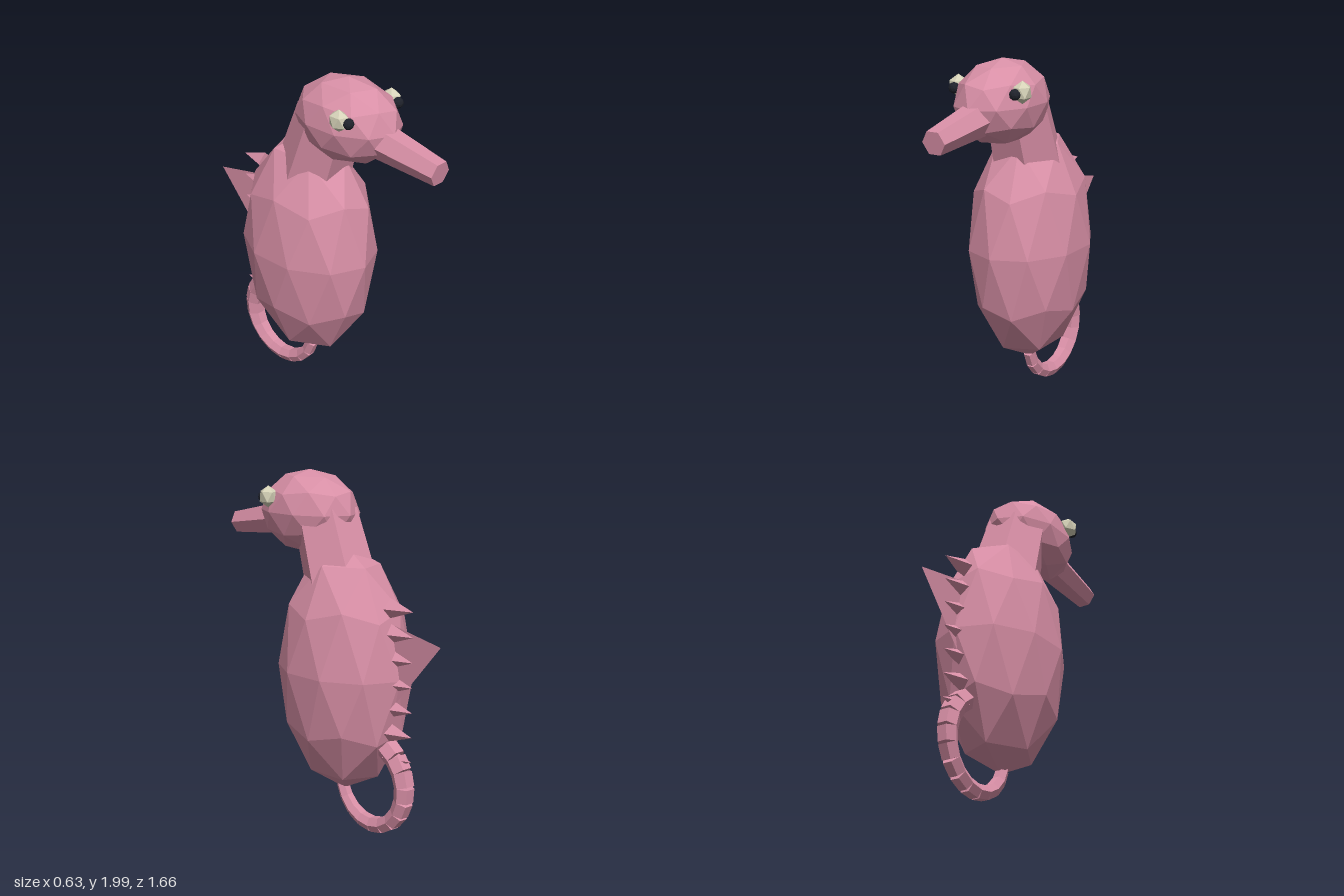
import * as THREE from 'three';

const flat = (name, color) => {
  const m = new THREE.MeshStandardMaterial({ color, flatShading: true });
  m.name = name;
  return m;
};

// Faceted ball with a vertex at each pole, stretched to radii r and centred at c
function icoBall(name, mat, r, c, detail) {
  const pts = [0, -1, 0];
  for (const [h, start] of [[-1, 180], [1, 0]]) {
    for (let k = 0; k < 5; k++) {
      const a = THREE.MathUtils.degToRad(start + 72 * k);
      pts.push(0.8944 * Math.cos(a), 0.4472 * h, 0.8944 * Math.sin(a));
    }
  }
  pts.push(0, 1, 0);
  const faces = [];
  const lower = (k) => 1 + (k % 5);
  const upper = (k) => 6 + (k % 5);
  for (let k = 0; k < 5; k++) {
    faces.push(0, lower(k), lower(k + 1), 11, upper(k + 1), upper(k));
    // lower vertex k sits between upper vertices k + 2 and k + 3
    faces.push(lower(k), upper(k + 2), upper(k + 3));
    faces.push(lower(k), upper(k + 3), lower(k + 1));
  }
  const geo = new THREE.PolyhedronGeometry(pts, faces, 1, detail);
  geo.scale(...r);
  const mesh = new THREE.Mesh(geo, mat);
  mesh.name = name;
  mesh.position.set(...c);
  return mesh;
}

// Six-sided tapered tube between two points [y, z] on the centre plane
function hexTube(name, mat, from, to, rFrom, rTo) {
  const a = new THREE.Vector3(0, ...from);
  const b = new THREE.Vector3(0, ...to);
  const dir = b.clone().sub(a);
  const geo = new THREE.CylinderGeometry(rTo, rFrom, dir.length(), 6, 1, false, Math.PI / 6);
  const mesh = new THREE.Mesh(geo, mat);
  mesh.name = name;
  mesh.position.copy(a).add(b).multiplyScalar(0.5);
  mesh.rotation.x = Math.atan2(dir.z, dir.y);
  return mesh;
}

export function createModel() {
  const group = new THREE.Group();
  group.name = 'seahorse';
  const pink = flat('skin pink', 0xd88fa6);
  const finPink = flat('fin pink', 0xd88fa6);
  finPink.side = THREE.DoubleSide;
  const cream = flat('eye cream', 0xd6d2b8);
  const black = flat('pupil black', 0x1f222b);

  // Body, neck, head and snout
  group.add(icoBall('body', pink, [0.33, 0.7, 0.43], [0, 0.905, -0.1], 1));
  group.add(hexTube('neck', pink, [1.3, -0.095], [1.75, 0.06], 0.215, 0.187));
  group.add(icoBall('head', pink, [0.23, 0.235, 0.33], [0, 1.765, 0.19], 1));
  group.add(hexTube('snout', pink, [1.74, 0.2], [1.65, 0.822], 0.116, 0.07));

  // Eyes and pupils
  for (const s of [1, -1]) {
    const side = s > 0 ? 'left' : 'right';
    group.add(icoBall(side + 'Eye', cream, [0.05, 0.062, 0.062], [s * 0.203, 1.85, 0.312], 0));
    group.add(icoBall(side + 'Pupil', black, [0.031, 0.031, 0.031], [s * 0.192, 1.845, 0.368], 1));
  }

  // Row of spines down the back
  const spineGeo = new THREE.ConeGeometry(0.055, 0.17, 4);
  for (let i = 0; i < 7; i++) {
    const spine = new THREE.Mesh(spineGeo, pink);
    spine.name = 'backSpine' + (i + 1);
    spine.rotation.x = -Math.PI / 2;
    spine.position.set(0, 1.298 - 0.1375 * i, -0.54);
    group.add(spine);
  }

  // Flat triangular back fin on the centre plane
  const finGeo = new THREE.BufferGeometry().setFromPoints([
    new THREE.Vector3(0, 1.215, -0.44),
    new THREE.Vector3(0, 1.14, -0.825),
    new THREE.Vector3(0, 0.77, -0.495),
  ]);
  finGeo.computeVertexNormals();
  const fin = new THREE.Mesh(finGeo, finPink);
  fin.name = 'backFin';
  group.add(fin);

  // Curled tail of separate segments, thinning towards the tip
  const tail = new THREE.Group();
  tail.name = 'tail';
  const count = 12;
  const first = 27;
  const step = 19;
  const at = (deg) => {
    const a = THREE.MathUtils.degToRad(deg);
    return [0.295 + 0.25 * Math.cos(a), -0.325 - 0.25 * Math.sin(a)];
  };
  for (let i = 0; i < count; i++) {
    const r = 0.065 - 0.0024 * i;
    const a = first + step * i;
    tail.add(hexTube('tailSegment' + (i + 1), pink, at(a), at(a + step), r, r - 0.002));
  }
  group.add(tail);

  return group;
}
